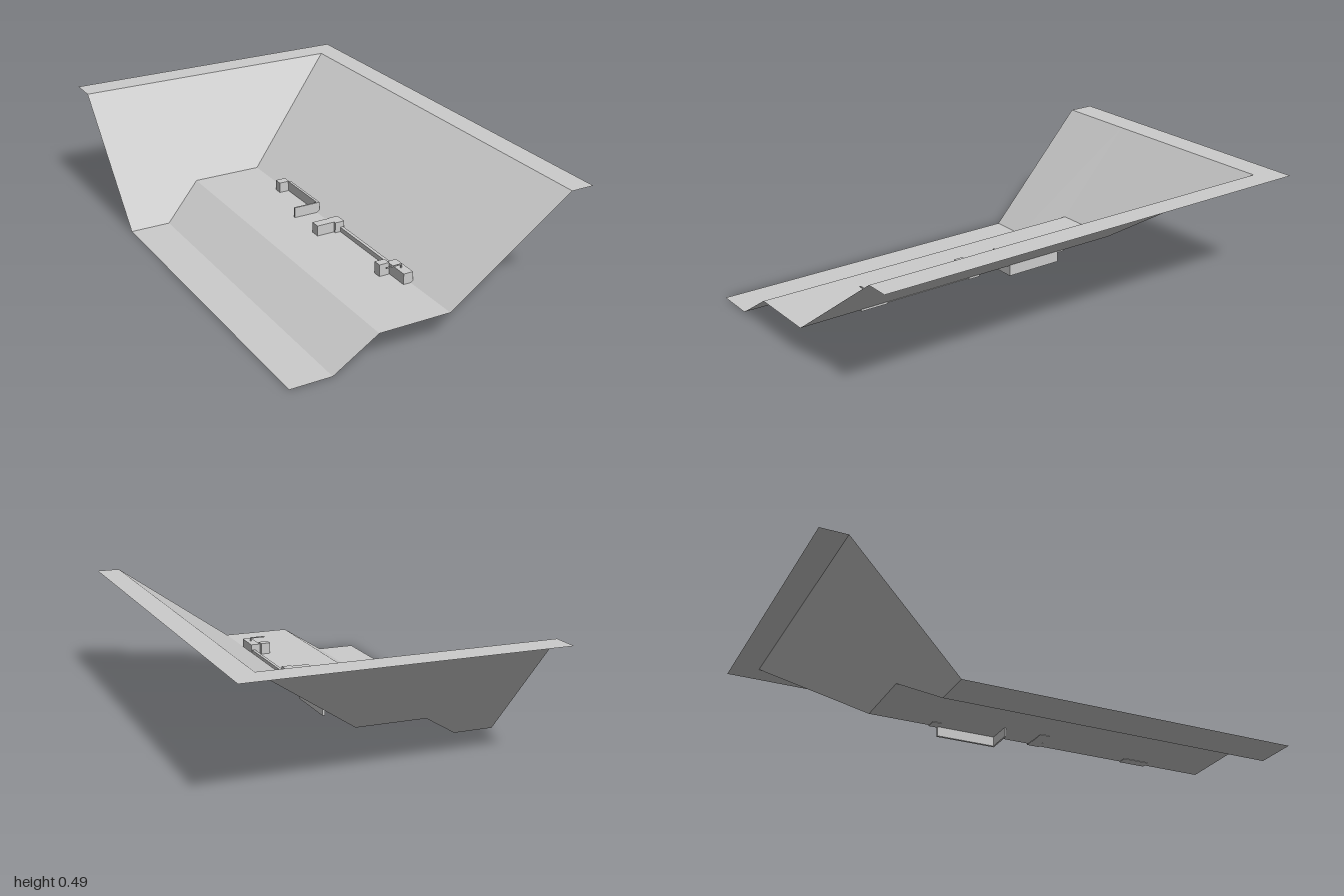
import * as THREE from 'three';

const material = new THREE.MeshStandardMaterial({ color: 0xcccccc, side: THREE.DoubleSide, flatShading: true });

// Open sheet lofted between two matching rows of points
function sheet(name, rowA, rowB) {
  const positions = [];
  for (let i = 0; i < rowA.length - 1; i++) {
    const [a, b, c, d] = [rowA[i], rowA[i + 1], rowB[i + 1], rowB[i]];
    positions.push(...a, ...b, ...c, ...a, ...c, ...d);
  }
  const geometry = new THREE.BufferGeometry();
  geometry.setAttribute('position', new THREE.Float32BufferAttribute(positions, 3));
  geometry.computeVertexNormals();
  const mesh = new THREE.Mesh(geometry, material);
  mesh.name = name;
  return mesh;
}

// Box given by its extents along each axis
function block(name, [x0, x1], [y0, y1], [z0, z1]) {
  const mesh = new THREE.Mesh(new THREE.BoxGeometry(x1 - x0, y1 - y0, z1 - z0), material);
  mesh.position.set((x0 + x1) / 2, (y0 + y1) / 2, (z0 + z1) / 2);
  mesh.name = name;
  return mesh;
}

export function createModel() {
  const model = new THREE.Group();
  model.name = 'terracedPit';

  // Terraced ground: x, y and the z where each level meets the end slope
  const profile = [
    [-0.65, 0, -0.435], [-0.475, 0, -0.435], [-0.285, 0.12, -0.55],
    [0.02, 0.12, -0.55], [0.55, 0.49, -0.885], [0.65, 0.49, -0.885],
  ];
  const front = profile.map(([x, y]) => [x, y, 1]);
  const back = profile.map(([x, y, z]) => [x, y, z]);
  model.add(sheet('terraces', front, back));

  // End slope rising from the terraces to the rim
  const foot = back.slice(0, 5);
  model.add(sheet('endSlope', foot, foot.map(([x]) => [x, 0.49, -0.885])));
  model.add(sheet('backRim', [[-0.65, 0.49, -0.885], [0.65, 0.49, -0.885]], [[-0.65, 0.49, -1], [0.65, 0.49, -1]]));

  // Low buildings and walls on the middle terrace
  const buildings = new THREE.Group();
  buildings.name = 'buildings';
  const height = [0.118, 0.165];
  buildings.add(
    block('frontHouse', [-0.012, 0.03], height, [0.615, 0.735]),
    block('frontShed', [-0.058, -0.014], [0.12, 0.17], [0.6, 0.635]),
    block('beam', [-0.06, 0.01], [0.177, 0.182], [0.682, 0.687]),
    block('beamPost', [0.006, 0.01], [0.165, 0.18], [0.682, 0.687]),
    block('longWall', [0.012, 0.026], [0.12, 0.14], [0.22, 0.615]),
    block('middleHouse', [-0.012, 0.03], height, [0.165, 0.22]),
    block('middleWing', [-0.09, -0.012], height, [0.168, 0.21]),
    block('retainingWall', [0.022, 0.033], [0.08, 0.165], [-0.25, 0.01]),
    block('crossWall', [-0.087, 0.022], [0.08, 0.165], [0.003, 0.01]),
    block('backHouse', [-0.02, 0.026], height, [-0.288, -0.25]),
  );
  model.add(buildings);
  return model;
}
